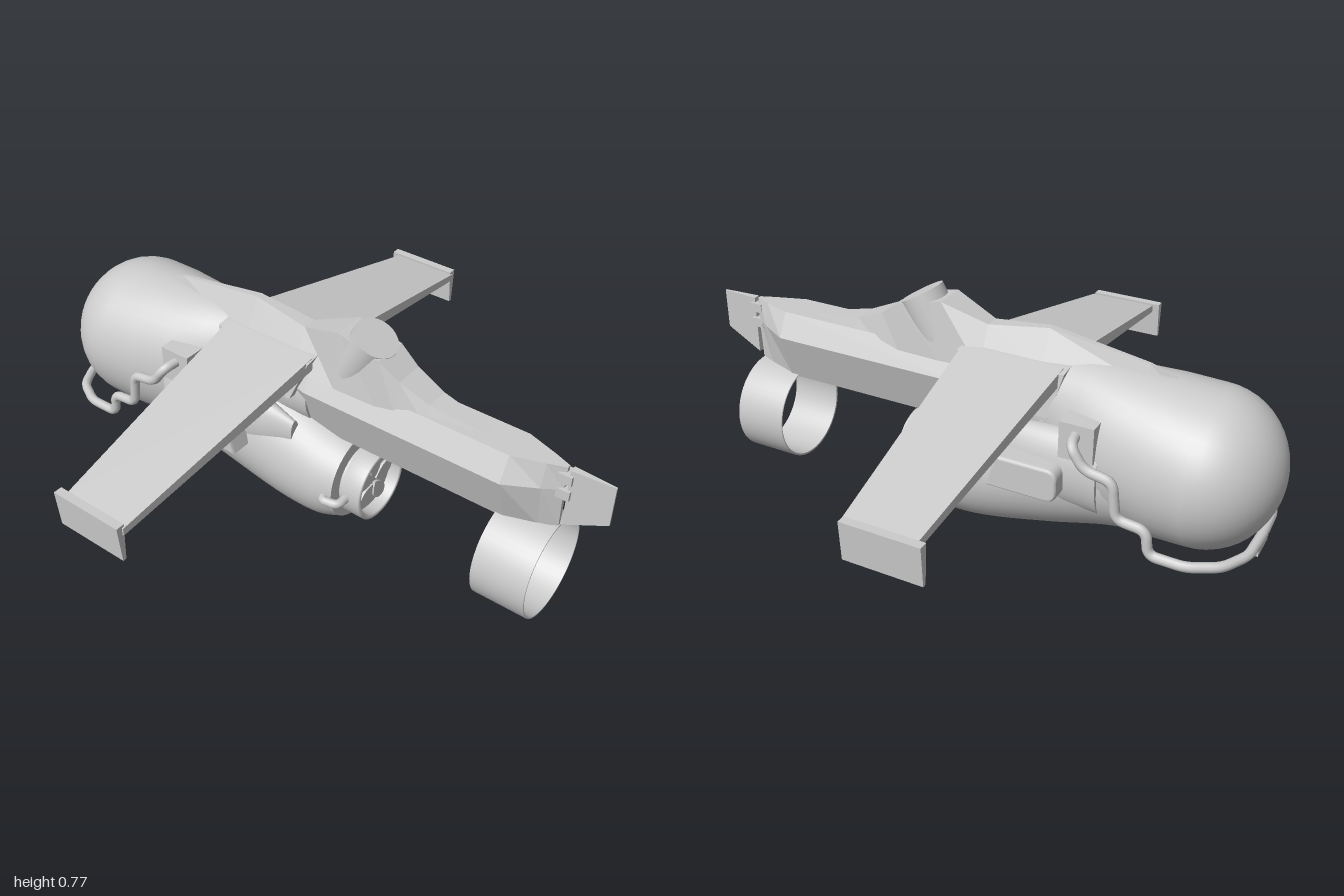
import * as THREE from 'three';

const smooth = new THREE.MeshStandardMaterial({ color: 0xcccccc });
const flat = new THREE.MeshStandardMaterial({ color: 0xcccccc, flatShading: true });
const thin = new THREE.MeshStandardMaterial({ color: 0xcccccc, side: THREE.DoubleSide });

function add(parent, name, geometry, material = smooth) {
  const mesh = new THREE.Mesh(geometry, material);
  mesh.name = name;
  parent.add(mesh);
  return mesh;
}

// Skin a row of closed rings that advance along +x, with capped ends
function loft(rings) {
  const n = rings[0].length, pos = rings.flat(2), idx = [];
  for (let i = 0; i < rings.length - 1; i++) {
    for (let j = 0; j < n; j++) {
      const a = i * n + j, b = i * n + (j + 1) % n;
      idx.push(a, b, b + n, a, b + n, a + n);
    }
  }
  for (const end of [0, 1]) {
    const ring = rings[end ? rings.length - 1 : 0], start = pos.length / 3;
    pos.push(...ring.flat());
    for (let j = 1; j < n - 1; j++) {
      idx.push(start, start + (end ? j : j + 1), start + (end ? j + 1 : j));
    }
  }
  const g = new THREE.BufferGeometry();
  g.setAttribute('position', new THREE.Float32BufferAttribute(pos, 3));
  g.setIndex(idx);
  g.computeVertexNormals();
  return g;
}

// Elliptical ring: x, centre height, half height, half depth, centre z
function oval([x, cy, ry, rz, cz = 0], n = 40) {
  return Array.from({ length: n }, (_, i) => {
    const a = i / n * Math.PI * 2;
    return [x, cy + ry * Math.cos(a), cz + rz * Math.sin(a)];
  });
}

// Smoothly interpolate a few oval sections
function ovalLoft(keys, steps) {
  const curveA = new THREE.CatmullRomCurve3(keys.map(k => new THREE.Vector3(k[0], k[1], k[4] || 0)), false, 'centripetal');
  const curveB = new THREE.CatmullRomCurve3(keys.map(k => new THREE.Vector3(k[0], k[2], k[3])), false, 'centripetal');
  return loft(Array.from({ length: steps + 1 }, (_, i) => {
    const a = curveA.getPoint(i / steps), b = curveB.getPoint(i / steps);
    return oval([a.x, a.y, b.y, b.z, a.z]);
  }));
}

// Box whose corners are moved by a rule
function warpedBox(rule) {
  const g = new THREE.BoxGeometry(1, 1, 1), p = g.attributes.position;
  for (let i = 0; i < p.count; i++) p.setXYZ(i, ...rule(p.getX(i), p.getY(i), p.getZ(i)));
  g.computeVertexNormals();
  return g;
}

function box(parent, name, x0, x1, y0, y1, z0, z1) {
  const g = new THREE.BoxGeometry(x1 - x0, y1 - y0, Math.abs(z1 - z0));
  return add(parent, name, g.translate((x0 + x1) / 2, (y0 + y1) / 2, (z0 + z1) / 2));
}

// Pipe with short rounded bends
function pipe(points, radius, bend = 0.03) {
  const p = points.map(v => new THREE.Vector3(...v)), path = new THREE.CurvePath();
  let last = p[0];
  for (let i = 1; i < p.length - 1; i++) {
    const cut = q => p[i].clone().lerp(q, Math.min(0.45, bend / p[i].distanceTo(q)));
    const a = cut(p[i - 1]), b = cut(p[i + 1]);
    path.add(new THREE.LineCurve3(last, a));
    path.add(new THREE.QuadraticBezierCurve3(a, p[i], b));
    last = b;
  }
  path.add(new THREE.LineCurve3(last, p[p.length - 1]));
  return new THREE.TubeGeometry(path, points.length * 16, radius, 10);
}

// Open band around the x axis with inner and outer walls
function band(x0, x1, y, outer, inner) {
  const pts = [[inner, x0], [outer, x0], [outer, x1], [inner, x1], [inner, x0]];
  const profile = pts.map(([r, h]) => new THREE.Vector2(r, -h));
  const g = new THREE.LatheGeometry(profile, 48).toNonIndexed();
  return g.rotateZ(Math.PI / 2).translate(0, y, 0);
}

export function createModel() {
  const model = new THREE.Group();

  // Rounded nose and tapering upper fuselage
  const rings = [];
  for (let i = 0; i <= 12; i++) {
    const a = i / 12 * Math.PI / 2, r = Math.max(0.002, 0.25 * Math.sin(a));
    rings.push(oval([-0.77 - 0.23 * Math.cos(a), 0.38, r, r]));
  }
  for (const k of [[-0.65, 0.38, 0.258, 0.237], [-0.5, 0.385, 0.256, 0.205], [-0.4, 0.42, 0.22, 0.165],
    [-0.28, 0.46, 0.17, 0.11], [0, 0.46, 0.12, 0.09]]) rings.push(oval(k));
  add(model, 'fuselage', loft(rings));

  // Lower engine nacelle
  add(model, 'nacelle', ovalLoft([[-0.62, 0.33, 0.2, 0.2], [-0.5, 0.32, 0.21, 0.2], [-0.3, 0.275, 0.22, 0.195],
    [-0.05, 0.207, 0.205, 0.185], [0.08, 0.181, 0.178, 0.172], [0.15, 0.182, 0.152, 0.155]], 28));

  // Exhaust ring, fan and clips
  add(model, 'exhaustRing', band(0.165, 0.235, 0.178, 0.125, 0.108), thin);
  add(model, 'exhaustCore', new THREE.CylinderGeometry(0.11, 0.11, 0.06, 40).rotateZ(Math.PI / 2).translate(0.165, 0.178, 0));
  const blade = new THREE.Shape();
  blade.moveTo(0, 0.012);
  blade.bezierCurveTo(0.05, 0.04, 0.045, 0.1, 0.005, 0.1);
  blade.bezierCurveTo(-0.03, 0.09, -0.025, 0.04, 0, 0.012);
  for (let i = 0; i < 5; i++) {
    const fan = add(model, 'fanBlade', new THREE.ExtrudeGeometry(blade, { depth: 0.01, bevelEnabled: false, curveSegments: 8 })
      .rotateZ(i * Math.PI * 0.4).rotateY(Math.PI / 2));
    fan.position.set(0.2, 0.178, 0);
  }

  // Faceted tail boom, closing to a vertical edge
  const boom = [[-0.33, 0.3, 0.36], [0, 1, 0.34], [0.7, 1, 0.34], [0.8, 0.45, 0.345], [0.855, 0.1, 0.36]];
  add(model, 'tailBoom', loft(boom.map(([x, w, low]) =>
    [[0.58, 0.06], [0.5, 0.1], [low, 0.05], [low, -0.05], [0.5, -0.1], [0.58, -0.06]].map(([y, z]) => [x, y, z * w]))), flat);

  // Dorsal spine: x, top height, half width at top, base height, half width at base
  const spine = [[-0.65, 0.638, 0.004, 0.6, 0.01], [-0.57, 0.665, 0.006, 0.6, 0.025], [-0.25, 0.712, 0.012, 0.57, 0.085],
    [-0.05, 0.685, 0.025, 0.56, 0.09], [0.1, 0.74, 0.055, 0.55, 0.08], [0.25, 0.705, 0.06, 0.55, 0.075],
    [0.32, 0.655, 0.05, 0.55, 0.07], [0.42, 0.612, 0.04, 0.55, 0.06], [0.6, 0.58, 0.02, 0.55, 0.03]];
  add(model, 'dorsalSpine', loft(spine.map(([x, t, a, b, w]) => [[x, t, a], [x, b, w], [x, b, -w], [x, t, -a]])), flat);

  // Slanted stack standing on the spine
  const stack = add(model, 'stack', new THREE.CylinderGeometry(0.073, 0.073, 0.25, 40).translate(0, -0.125, 0));
  stack.position.set(0.2, 0.735, 0);
  stack.rotation.z = -0.51;

  // Tail ring, hinge and rudder
  add(model, 'tailRing', band(0.675, 0.855, 0.185, 0.17, 0.163), thin);
  for (const y of [0.475, 0.53]) box(model, 'rudderHinge', 0.835, 0.878, y, y + 0.032, -0.022, 0.022);
  add(model, 'rudder', warpedBox((x, y, z) => {
    const t = x + 0.5, low = 0.375 + 0.065 * t;
    return [0.866 + 0.134 * t, y > 0 ? 0.578 : low, z * (0.024 - 0.018 * t)];
  }));

  // Nose plate that joins the two pipes
  box(model, 'nosePlate', -0.96, -0.945, 0.145, 0.205, -0.05, 0.05);

  for (const s of [1, -1]) {
    // Drooping tapered wing with end plate
    add(model, 'wing', warpedBox((x, y, z) => {
      const t = s * z + 0.5;
      const front = -0.325 + 0.05 * t, back = 0.015 - 0.06 * t;
      return [x < 0 ? front : back, 0.6 - 0.155 * t + y * (0.045 - 0.02 * t), s * (0.07 + 0.77 * t)];
    }));
    add(model, 'wingEndPlate', warpedBox((x, y, z) => {
      const width = y > 0 ? 0.028 : 0.012;
      return [-0.175 + x * 0.25, 0.403 + y * 0.126, s * 0.845 + z * width];
    }));
    // Wing root fairing
    add(model, 'wingRoot', warpedBox((x, y, z) => {
      const t = s * z + 0.5, front = y > 0 ? -0.34 : -0.3, back = y > 0 ? 0.02 : -0.04;
      return [x < 0 ? front : back, y > 0 ? 0.63 - 0.015 * t : 0.47, s * t * (y > 0 ? 0.1 : 0.12)];
    }));
    // Stepped cowl on the flank
    add(model, 'sideCowl', ovalLoft([[-0.5, 0.34, 0.13, 0.07, s * 0.145], [-0.35, 0.34, 0.125, 0.07, s * 0.14],
      [-0.15, 0.34, 0.1, 0.05, s * 0.13], [-0.02, 0.34, 0.05, 0.02, s * 0.12]], 12));
    // Side duct: rounded block along the flank
    const duct = new THREE.CapsuleGeometry(0.03, 0.04, 6, 16).rotateX(Math.PI / 2);
    duct.dispose();
    const outline = new THREE.Shape();
    outline.moveTo(-0.39, 0.31);
    outline.quadraticCurveTo(-0.39, 0.28, -0.36, 0.28);
    outline.lineTo(-0.17, 0.28);
    outline.lineTo(-0.2, 0.375);
    outline.lineTo(-0.36, 0.375);
    outline.quadraticCurveTo(-0.39, 0.375, -0.39, 0.345);
    add(model, 'sideDuct', new THREE.ExtrudeGeometry(outline, { depth: 0.08, bevelSize: 0.008, bevelThickness: 0.012, bevelSegments: 3 })
      .translate(0, 0, s > 0 ? 0.17 : -0.25));
    // Pipe bracket and coolant pipe wrapping round the nose
    box(model, 'pipeBracket', -0.49, -0.38, 0.41, 0.53, s * 0.12, s * 0.215);
    add(model, 'pipe', pipe([[-0.955, 0.197, 0], [-0.95, 0.197, s * 0.13], [-0.9, 0.197, s * 0.22], [-0.81, 0.197, s * 0.268],
      [-0.695, 0.2, s * 0.268], [-0.685, 0.28, s * 0.268], [-0.59, 0.29, s * 0.268], [-0.575, 0.41, s * 0.268],
      [-0.485, 0.425, s * 0.268], [-0.44, 0.49, s * 0.265], [-0.43, 0.495, s * 0.2]], 0.016));
    // Clip holding the exhaust ring
    add(model, 'exhaustClip', pipe([[0.125, 0.178, s * 0.13], [0.125, 0.178, s * 0.175], [0.185, 0.178, s * 0.165], [0.185, 0.178, s * 0.115]], 0.015, 0.02));
  }
  return model;
}
